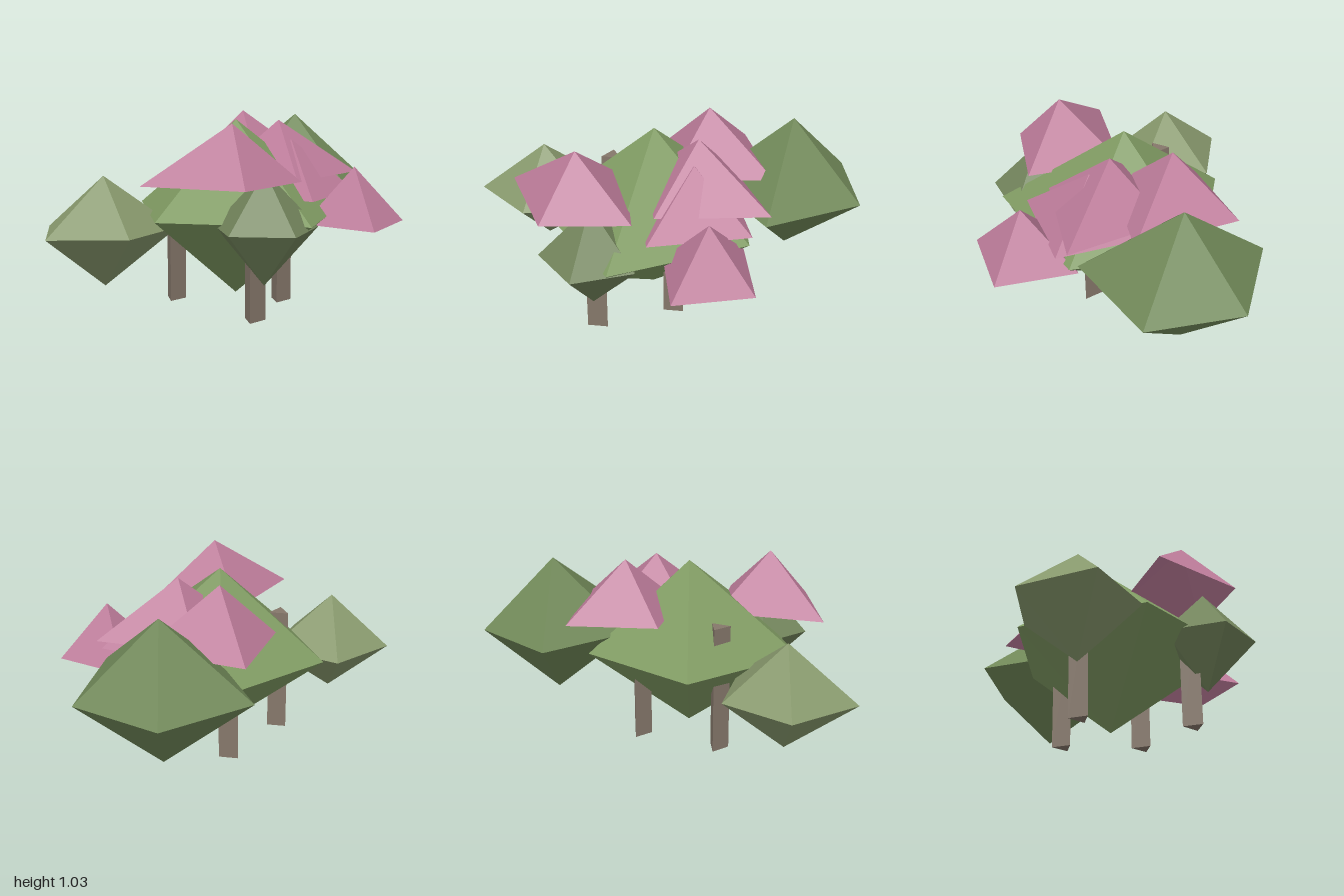
import * as THREE from 'three';

// Flat-shaded fan from a ring of [x, z] corners to an upper tip, and to a lower tip if given.
// Rings run right, front, left, back.
function spireGeometry(tip, ringY, ring, bottomY) {
  const pos = [];
  const [x, y, z] = tip;
  ring.forEach((a, i) => {
    const b = ring[(i + 1) % ring.length];
    pos.push(x, y, z, b[0], ringY, b[1], a[0], ringY, a[1]);
    if (bottomY !== undefined) pos.push(x, bottomY, z, a[0], ringY, a[1], b[0], ringY, b[1]);
  });
  const g = new THREE.BufferGeometry();
  g.setAttribute('position', new THREE.Float32BufferAttribute(pos, 3));
  g.computeVertexNormals();
  return g;
}

const mat = (color, side = THREE.FrontSide) =>
  new THREE.MeshStandardMaterial({ color, side, flatShading: true });

export function createModel() {
  const model = new THREE.Group();
  model.name = 'floweringBush';
  const add = (name, geometry, material) => {
    const mesh = new THREE.Mesh(geometry, material);
    mesh.name = name;
    model.add(mesh);
    return mesh;
  };

  // Leaf clumps: uneven five-sided double pyramids
  const clumps = [
    { name: 'rightLeafClump', color: 0x87986c, tip: [-0.69, 0.72, 0.175], y: 0.43, bottom: 0.13,
      ring: [[-0.3, 0.175], [-0.59, 0.475], [-1, 0.395], [-0.97, -0.03], [-0.58, -0.16]] },
    { name: 'middleLeafClump', color: 0x7f9a62, tip: [0.045, 1, 0.08], y: 0.51, bottom: 0.03,
      ring: [[0.67, 0.08], [0.27, 0.75], [-0.46, 0.46], [-0.435, -0.27], [0.225, -0.475]] },
    { name: 'frontLeafClump', color: 0x73855c, tip: [0.065, 0.78, 0.625], y: 0.49, bottom: 0.2,
      ring: [[0.345, 0.62], [0.15, 0.885], [-0.155, 0.79], [-0.16, 0.46], [0.15, 0.36]] },
    { name: 'backLeafClump', color: 0x708858, tip: [0.555, 0.99, -0.5], y: 0.6, bottom: 0.205,
      ring: [[0.995, -0.5], [0.715, 0], [0.17, -0.24], [0.17, -0.78], [0.68, -0.89]] },
  ];
  for (const c of clumps) add(c.name, spireGeometry(c.tip, c.y, c.ring, c.bottom), mat(c.color));

  // Blossoms: open four-sided caps; reach = right, front, left, back corner distances
  const pink = mat(0xbd7c9a, THREE.DoubleSide);
  const blossoms = [
    { name: 'frontBlossom', tip: [-0.085, 1.01, 0.555], y: 0.71, reach: [0.36, 0.285, 0.46, 0.385] },
    { name: 'backBlossom', tip: [0.165, 1.03, -0.26], y: 0.725, reach: [0.43, 0.36, 0.315, 0.38] },
    { name: 'upperBlossom', tip: [0.3, 0.99, 0.03], y: 0.69, reach: [0.46, 0.38, 0.36, 0.33] },
    { name: 'innerBlossom', tip: [0.345, 0.89, 0.13], y: 0.6, reach: [0.37, 0.4, 0.34, 0.36] },
    { name: 'lowBlossom', tip: [0.62, 0.76, 0.385], y: 0.46, reach: [0.285, 0.305, 0.28, 0.33] },
  ];
  for (const { name, tip, y, reach: [r, f, l, b] } of blossoms) {
    const [x, , z] = tip;
    add(name, spireGeometry(tip, y, [[x + r, z], [x, z + f], [x - l, z], [x, z - b]]), pink);
  }

  // Stems: three-sided posts with one edge pointing to +x
  const bark = mat(0x85776a);
  const stems = [[-0.293, 0.035, 0.72], [0.03, 0.55, 0.62], [0.1, -0.22, 0.65], [0.27, 0.19, 0.6]];
  for (const [x, z, h] of stems) {
    const g = new THREE.CylinderGeometry(0.063, 0.063, h, 3).rotateY(Math.PI / 2);
    add('stem', g, bark).position.set(x, h / 2, z);
  }
  return model;
}
